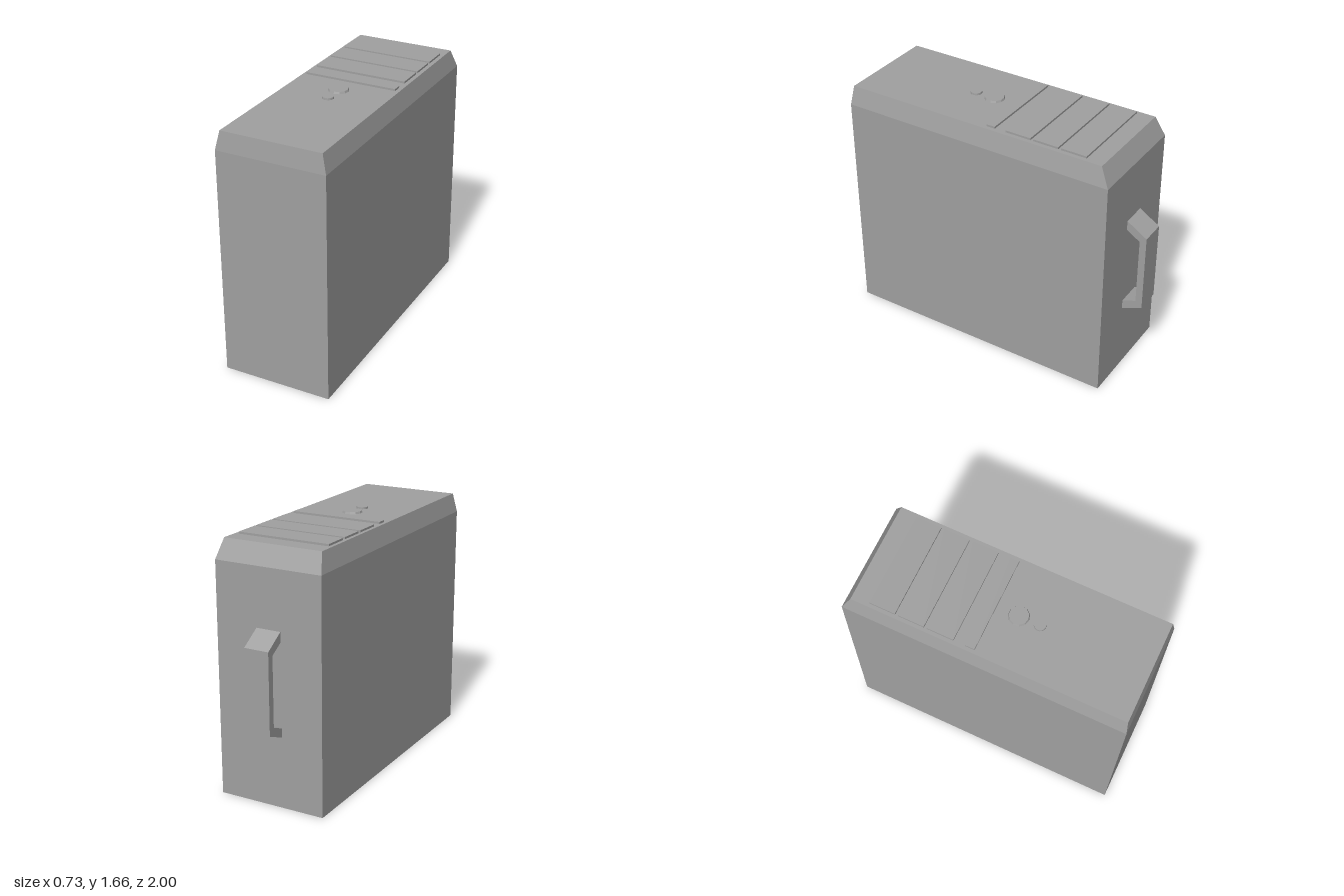
import * as THREE from 'three';

// Four corners of a horizontal rectangle, counter-clockwise from above
const ring = (x0, x1, z0, z1, y) => [[x0, y, z1], [x1, y, z1], [x1, y, z0], [x0, y, z0]];

// Skin a stack of rings with flat faces and close both ends
function loft(rings) {
  const pos = [];
  const quad = (a, b, c, d) => [a, b, c, a, c, d].forEach((p) => pos.push(...p));
  for (let k = 0; k < rings.length - 1; k++) {
    const a = rings[k], b = rings[k + 1];
    for (let i = 0; i < 4; i++) {
      const j = (i + 1) % 4;
      quad(a[i], a[j], b[j], b[i]);
    }
  }
  quad(...[...rings[0]].reverse());
  quad(...rings[rings.length - 1]);
  const geo = new THREE.BufferGeometry();
  geo.setAttribute('position', new THREE.Float32BufferAttribute(pos, 3));
  geo.computeVertexNormals();
  return geo;
}

export function createModel() {
  const group = new THREE.Group();
  const casing = new THREE.MeshStandardMaterial({ color: 0xa0a0a0, flatShading: true });
  casing.name = 'casing grey';

  const add = (name, geo, x = 0, y = 0, z = 0) => {
    const mesh = new THREE.Mesh(geo, casing);
    mesh.name = name;
    mesh.position.set(x, y, z);
    group.add(mesh);
  };

  const topY = 1.645;

  // Case with chamfered top edges and a shallow recess underneath
  add('case', loft([
    ring(-0.26, 0.26, -0.02, 0.7, 0.025),
    ring(-0.26, 0.26, -0.02, 0.7, 0),
    ring(-0.363, 0.363, -0.865, 1, 0),
    ring(-0.363, 0.363, -0.865, 1, 1.52),
    ring(-0.335, 0.335, -0.805, 0.985, topY),
  ]));

  // Drive covers across the top: three wide, one narrow
  const h = 0.013;
  [[-0.69, -0.52], [-0.5, -0.33], [-0.31, -0.137], [-0.06, 0]].forEach(([z0, z1], i) => {
    add(`driveCover${i + 1}`, new THREE.BoxGeometry(0.62, h, z1 - z0), -0.002, topY + h / 2, (z0 + z1) / 2);
  });

  // Power and reset buttons
  add('powerButton', new THREE.CylinderGeometry(0.061, 0.066, h, 11), -0.007, topY + h / 2, 0.145);
  add('resetButton', new THREE.CylinderGeometry(0.037, 0.038, h, 14), -0.007, topY + h / 2, 0.282);

  // Carry handle on the back, drawn in side profile (distance behind centre, height)
  const profile = new THREE.Shape([
    [0.865, 1.14], [0.865, 1.075], [0.955, 1.02], [0.955, 0.565],
    [0.865, 0.53], [0.865, 0.47], [1, 0.525], [1, 1.055],
  ].map(([d, y]) => new THREE.Vector2(d, y)));
  const handle = new THREE.ExtrudeGeometry(profile, { depth: 0.166, bevelEnabled: false });
  handle.rotateY(Math.PI / 2);
  add('handle', handle, -0.084, 0, 0);

  return group;
}
